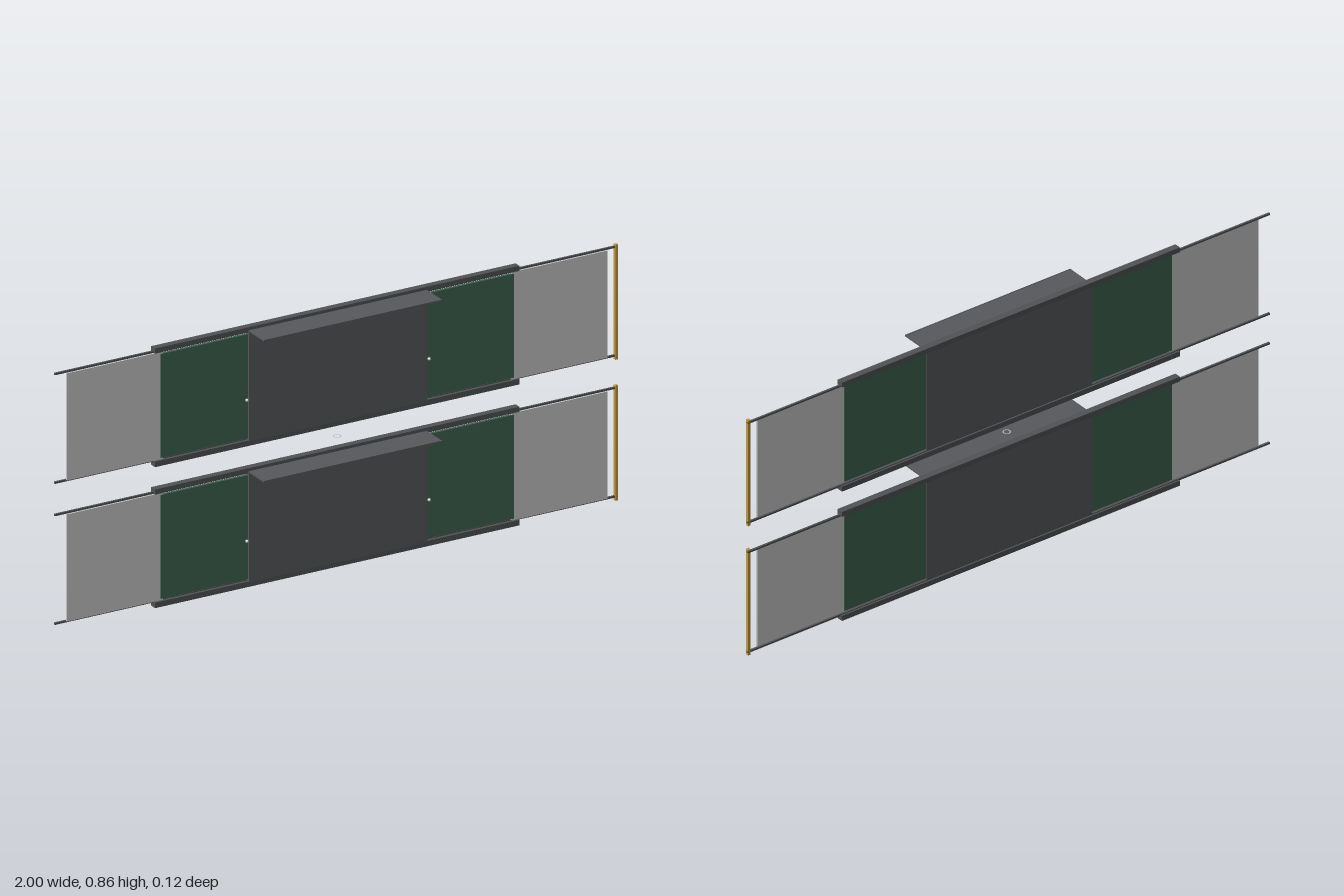
import * as THREE from 'three';

const material = (name, color, extra = {}) =>
  Object.assign(new THREE.MeshStandardMaterial({ color, ...extra }), { name });

export function createModel() {
  const model = new THREE.Group();
  model.name = 'slidingPanelRack';

  const railGrey = material('rail grey', 0x505255);
  const charcoal = material('charcoal', 0x58595c);
  const green = material('board green', 0x3f634f);
  const silver = material('light grey', 0xc8c8c8);
  const brass = material('brass', 0xc09a40);
  const white = material('white', 0xf0f0f0);
  const ringGrey = material('ring grey', 0xb8b8b8, { side: THREE.DoubleSide });

  // Box given by its limits on each axis
  const box = (parent, name, mat, [x0, x1], [y0, y1], [z0, z1]) => {
    const mesh = new THREE.Mesh(new THREE.BoxGeometry(x1 - x0, y1 - y0, z1 - z0), mat);
    mesh.position.set((x0 + x1) / 2, (y0 + y1) / 2, (z0 + z1) / 2);
    mesh.name = name;
    parent.add(mesh);
    return mesh;
  };

  const makeUnit = (name, y) => {
    const unit = new THREE.Group();
    unit.name = name;
    unit.position.y = y;

    // Rails and long thin runners, bottom and top
    for (const [label, r0, r1, runner] of [['bottom', 0, 0.018, 0.018], ['top', 0.376, 0.393, 0.378]]) {
      box(unit, label + 'Rail', railGrey, [-0.65, 0.645], [r0, r1], [-0.058, -0.035]);
      box(unit, label + 'Runner', railGrey, [-1, 1], [runner - 0.003, runner + 0.003], [-0.052, -0.045]);
    }

    // Centre panel with the shelf and its lip
    box(unit, 'centrePanel', charcoal, [-0.318, 0.316], [0.016, 0.382], [-0.052, -0.032]);
    box(unit, 'shelf', charcoal, [-0.318, 0.316], [0.379, 0.383], [-0.035, 0.056]);
    box(unit, 'shelfLip', charcoal, [-0.318, 0.316], [0.378, 0.384], [0.055, 0.058]);

    // Mirrored boards, sliding panels and small pulls
    for (const s of [-1, 1]) {
      const span = (a, b) => (s > 0 ? [a, b] : [-b, -a]);
      const side = s > 0 ? 'left' : 'right';
      box(unit, side + 'Board', green, span(0.31, 0.628), [0.025, 0.369], [-0.048, -0.038]);
      box(unit, side + 'SlidingPanel', silver, span(0.62, 0.96), [0.02, 0.375], [-0.046, -0.039]);
      const pull = new THREE.Mesh(new THREE.SphereGeometry(0.005, 12, 8), white);
      pull.name = side + 'Pull';
      pull.position.set(s * 0.324, 0.153, -0.034);
      unit.add(pull);
    }

    // Upright handle at one end of the runners
    box(unit, 'endHandle', brass, [0.99, 1], [0.006, 0.387], [-0.052, -0.041]);
    return unit;
  };

  model.add(makeUnit('lowerUnit', 0), makeUnit('upperUnit', 0.467));

  // Flat ring between the units
  const ring = new THREE.Mesh(new THREE.RingGeometry(0.0095, 0.013, 32), ringGrey);
  ring.name = 'centreRing';
  ring.rotation.x = -Math.PI / 2;
  ring.position.set(0, 0.431, -0.04);
  model.add(ring);

  return model;
}
